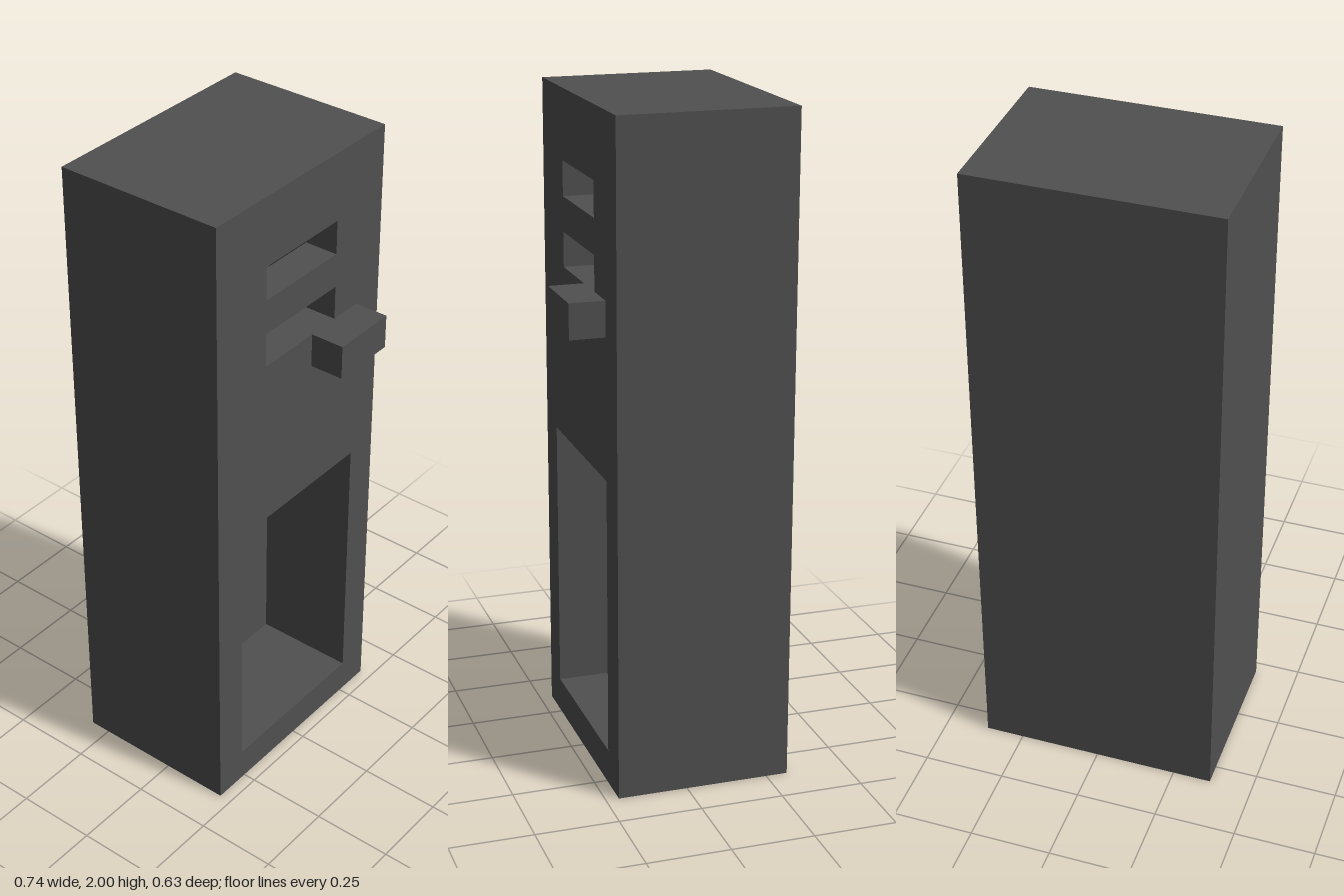
import * as THREE from 'three';

// The locker is laid out on a module grid: 7 wide, 19 tall, 5 deep.
const U = 2 / 19;
const FRONT_Z = 2 * U;

const darkGrey = new THREE.MeshStandardMaterial({ color: 0x505050 });
darkGrey.name = 'dark grey';

function rectPoints(x0, y0, x1, y1) {
  return [[x0, y0], [x1, y0], [x1, y1], [x0, y1]].map(([x, y]) => new THREE.Vector2(x * U, y * U));
}

// Full-size upright layer with rectangular openings, from depth z0 to z1.
function layer(name, z0, z1, openings) {
  const shape = new THREE.Shape(rectPoints(-3.5, 0, 3.5, 19));
  for (const o of openings) shape.holes.push(new THREE.Path(rectPoints(...o)));
  const geometry = new THREE.ExtrudeGeometry(shape, { depth: (z1 - z0) * U, bevelEnabled: false });
  geometry.translate(0, 0, z0 * U);
  const mesh = new THREE.Mesh(geometry, darkGrey);
  mesh.name = name;
  return mesh;
}

export function createModel() {
  const group = new THREE.Group();
  group.name = 'locker';

  const lowerCompartment = [-2.5, 1, 2.5, 9];
  const upperCompartment = [-2.5, 10, 2.5, 18];
  const ventSlots = [14, 16].map((y) => [-1.5, y, 1.5, y + 1]);

  // Solid back, hollow cabinet with a shelf, then the front with vents and open lower bay
  group.add(layer('backPanel', -3, -1, []));
  group.add(layer('cabinetWalls', -1, 1, [lowerCompartment, upperCompartment]));
  group.add(layer('frontPanel', 1, 2, [lowerCompartment, ...ventSlots]));

  // Handle block below the vents
  const handle = new THREE.Mesh(new THREE.BoxGeometry(2 * U, U, U), darkGrey);
  handle.position.set(1.5 * U, 13.5 * U, FRONT_Z + U / 2);
  handle.name = 'handle';
  group.add(handle);

  return group;
}
